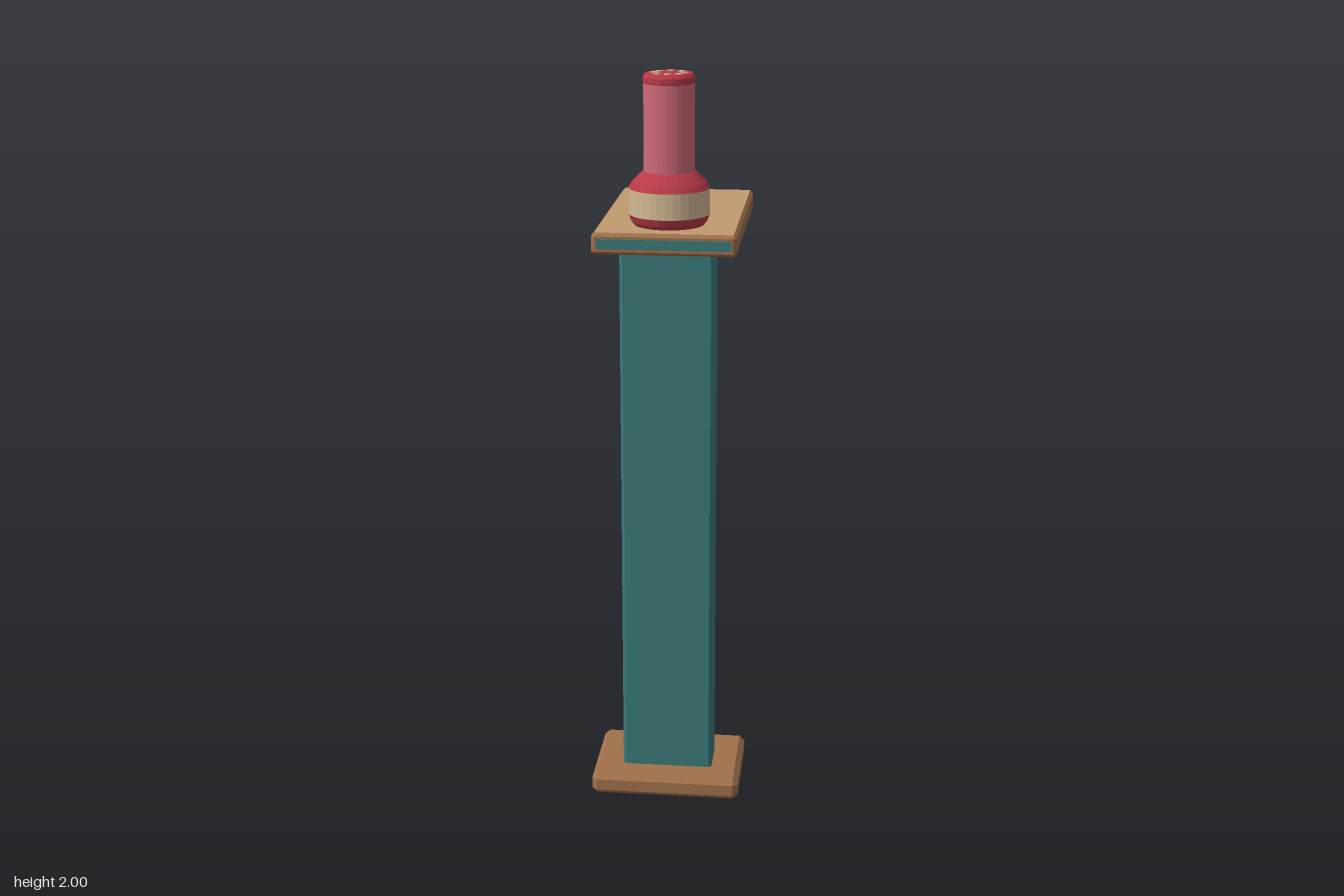
import * as THREE from 'three';
import { ConvexGeometry } from 'three/addons/geometries/ConvexGeometry.js';

const mat = (name, color) => {
  const m = new THREE.MeshStandardMaterial({ color });
  m.name = name;
  return m;
};

// Box with every edge and corner cut at 45 degrees
function chamferBox(w, h, d, c) {
  const points = [];
  for (const x of [-1, 1]) for (const y of [-1, 1]) for (const z of [-1, 1]) {
    for (let face = 0; face < 3; face++) {
      const cut = [0, 1, 2].map(i => (i === face ? 0 : c));
      points.push(new THREE.Vector3(x * (w / 2 - cut[0]), y * (h / 2 - cut[1]), z * (d / 2 - cut[2])));
    }
  }
  return new ConvexGeometry(points);
}

export function createModel() {
  const wood = mat('brown wood', 0xa0714a);
  const tan = mat('tan wood', 0xc19b70);
  const teal = mat('teal', 0x3a7a79);
  const red = mat('red', 0xb83a48);
  const pink = mat('pink', 0xcf6a78);
  const cream = mat('cream', 0xd3b994);
  const gold = mat('gold', 0xc8a560);

  const model = new THREE.Group();
  const add = (name, geometry, material, x, y, z, parent = model) => {
    const mesh = new THREE.Mesh(geometry, material);
    mesh.name = name;
    mesh.position.set(x, y, z);
    parent.add(mesh);
    return mesh;
  };

  // Foot and column
  add('foot', chamferBox(0.41, 0.06, 0.295, 0.014), wood, 0, 0.03, 0.175);
  add('column', chamferBox(0.25, 1.52, 0.115, 0.008), teal, 0, 0.81, 0.186);

  // Overhanging shelf with its tan surface, front strip and two inlaid lines
  add('shelf', chamferBox(0.376, 0.056, 0.64, 0.008), wood, 0, 1.577, -0.005);
  add('shelfSurface', new THREE.BoxGeometry(0.36, 0.003, 0.624), tan, 0, 1.6045, -0.005);
  add('frontStrip', new THREE.BoxGeometry(0.35, 0.026, 0.006), teal, 0, 1.578, 0.316);
  for (const x of [-0.058, 0.058]) {
    add('inlayLine', new THREE.BoxGeometry(0.008, 0.003, 0.38), gold, x, 1.606, -0.065);
  }

  // Turned canister standing on the shelf
  const canister = new THREE.Group();
  canister.name = 'canister';
  canister.position.set(0, 0, 0.172);
  model.add(canister);
  const turned = (name, profile, material) => {
    const points = profile.map(([r, y]) => new THREE.Vector2(r, y));
    const geometry = new THREE.LatheGeometry(points, 32).toNonIndexed();
    geometry.computeVertexNormals();
    add(name, geometry, material, 0, 0, 0, canister);
  };
  turned('canisterBase', [[0, 1.605], [0.092, 1.605], [0.1, 1.615], [0.107, 1.634]], red);
  turned('canisterBand', [[0.107, 1.634], [0.107, 1.702]], cream);
  turned('canisterShoulder', [[0.107, 1.702], [0.098, 1.717], [0.073, 1.742], [0.067, 1.746]], red);
  turned('canisterNeck', [[0.067, 1.744], [0.067, 1.975]], pink);
  turned('canisterCap', [[0.067, 1.973], [0.068, 1.976], [0.068, 1.989], [0.062, 1.998], [0, 1.998]], red);

  // Ring of dots on the cap
  for (let i = 0; i < 8; i++) {
    const a = (i * Math.PI) / 4;
    add('capDot', new THREE.CylinderGeometry(0.009, 0.009, 0.003, 12), cream,
      0.04 * Math.cos(a), 1.9985, 0.04 * Math.sin(a), canister);
  }
  return model;
}
